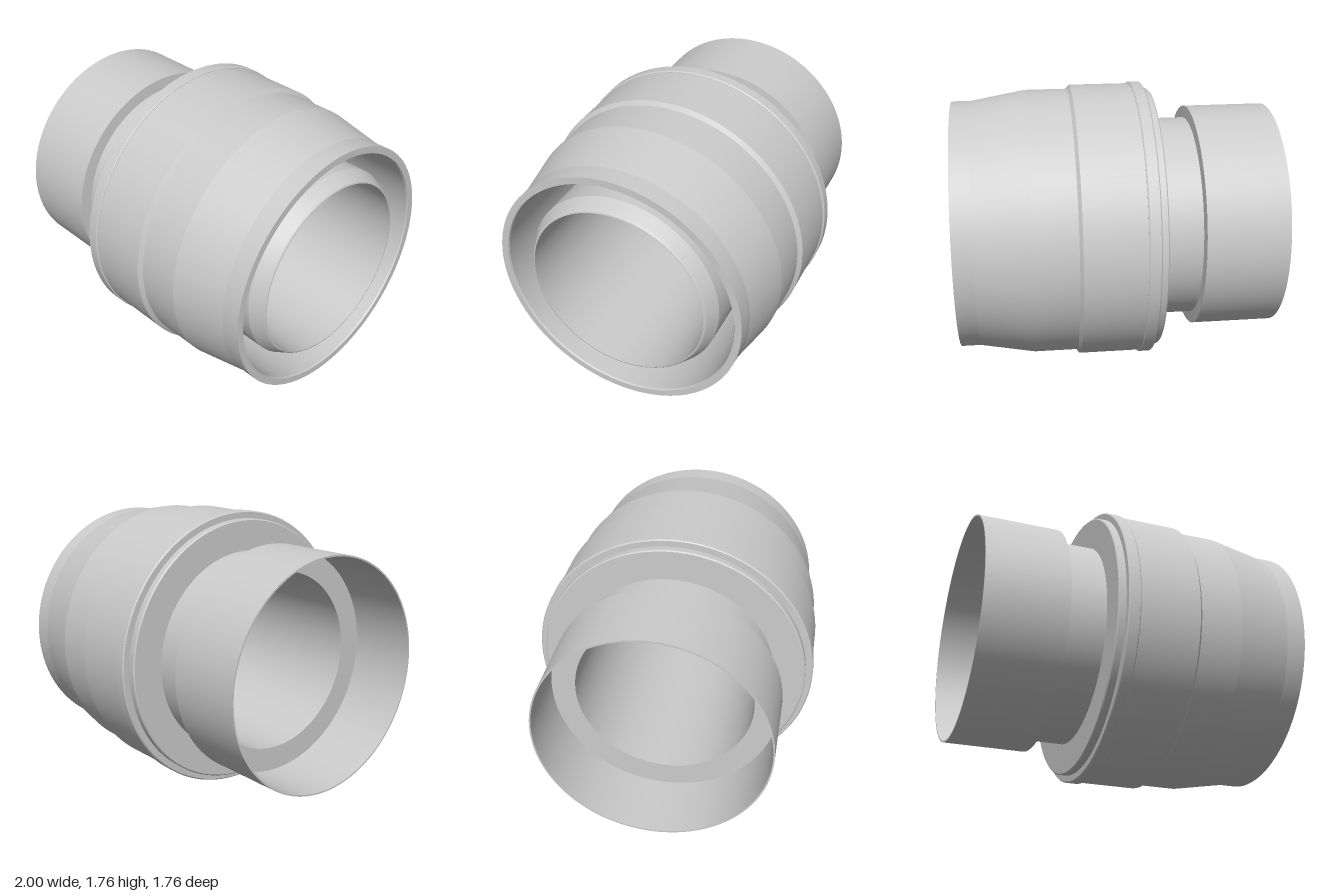
import * as THREE from 'three';
import { toCreasedNormals } from 'three/addons/utils/BufferGeometryUtils.js';

const material = new THREE.MeshStandardMaterial({ color: 0xcccccc });

// Revolve a closed profile of [radius, position along x], outside first (x rising), then back inside.
function turned(name, profile) {
  const points = [...profile, profile[0]].map(([r, x]) => new THREE.Vector2(r, x));
  const geometry = toCreasedNormals(new THREE.LatheGeometry(points, 128), 0.1);
  geometry.rotateZ(-Math.PI / 2);
  const mesh = new THREE.Mesh(geometry, material);
  mesh.name = name;
  return mesh;
}

export function createModel() {
  const model = new THREE.Group();
  model.name = 'pipeCoupling';

  // Thin-walled socket, neck and inner pipe with its tapered lip
  model.add(turned('innerPipe', [
    [0.705, -1], [0.715, -1], [0.715, -0.49], [0.64, -0.485], [0.64, -0.2],
    [0.61, -0.2], [0.61, 0.91], [0.578, 0.975], [0.57, 0.99], [0.563, 0.998], [0.555, 1],
    [0.555, -0.57], [0.705, -0.57],
  ]));

  // Flange closing the back of the shell
  model.add(turned('backFlange', [
    [0.61, -0.245], [0.828, -0.245], [0.835, -0.238], [0.835, -0.19], [0.61, -0.19],
  ]));

  // Raised collar around the shell edge
  model.add(turned('collar', [
    [0.8, -0.197], [0.873, -0.197], [0.88, -0.19], [0.88, -0.127], [0.873, -0.12], [0.8, -0.12],
  ]));

  // Outer shell: wide band, small shoulder, taper and straight mouth
  model.add(turned('outerShell', [
    [0.745, -0.19], [0.87, -0.19], [0.87, 0.255], [0.845, 0.275], [0.845, 0.54],
    [0.785, 0.88], [0.785, 1], [0.742, 1], [0.737, 0.99], [0.737, -0.19],
  ]));

  model.position.y = 0.88;
  const root = new THREE.Group();
  root.add(model);
  return root;
}
